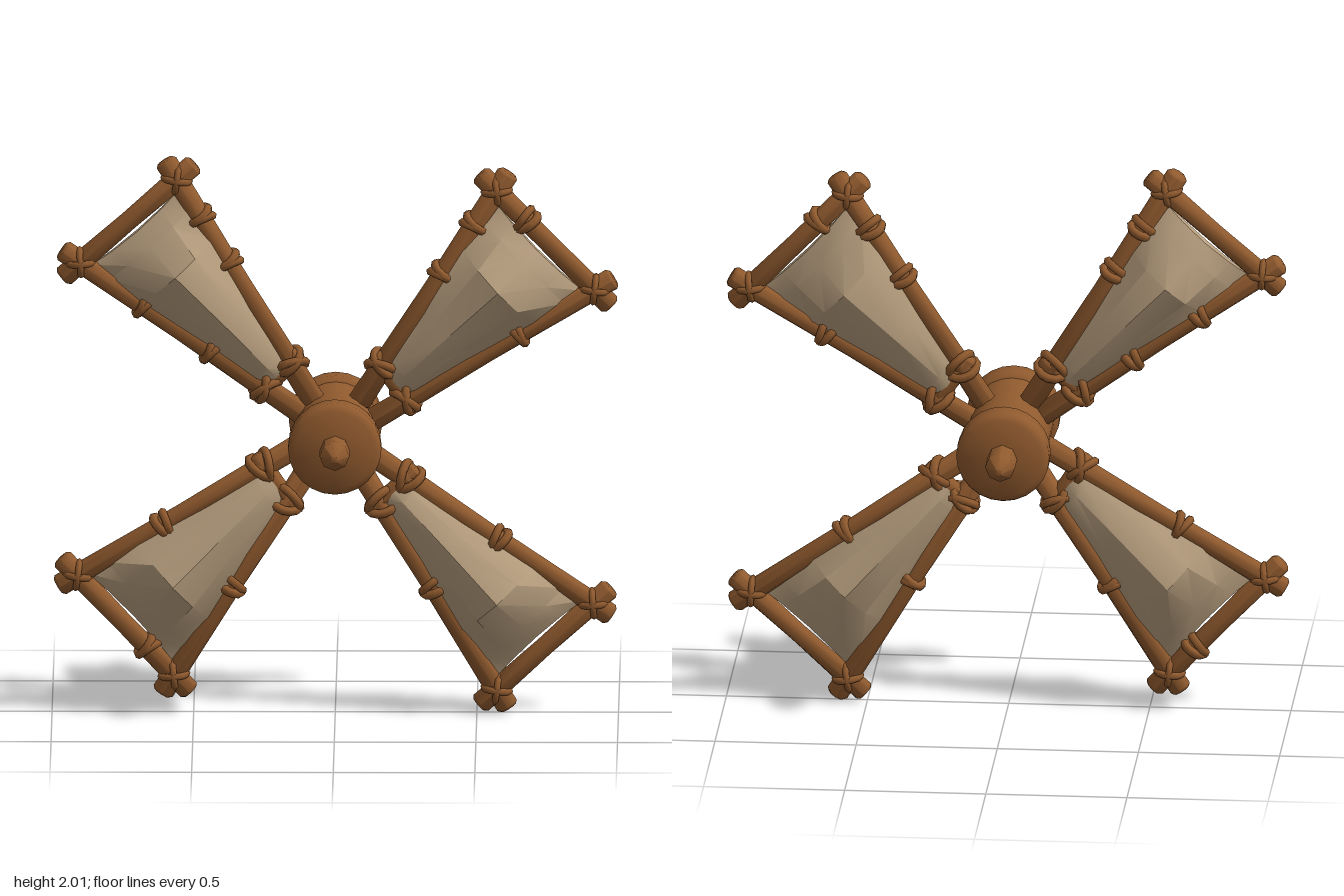
import * as THREE from 'three';
import { toCreasedNormals } from 'three/addons/utils/BufferGeometryUtils.js';

const wood = new THREE.MeshStandardMaterial({ color: 0x905a2e });
wood.name = 'wood';
const cloth = new THREE.MeshStandardMaterial({ color: 0xb89f7f, side: THREE.DoubleSide });
cloth.name = 'sailcloth';

const UP = new THREE.Vector3(0, 1, 0);
const HUB_Y = 1.003;
const vec = ([x, y]) => new THREE.Vector3(x, y, 0);
const mix = (a, b, t) => a.clone().lerp(b, t);

function add(group, name, geometry, material) {
  const mesh = new THREE.Mesh(geometry, material);
  mesh.name = name;
  group.add(mesh);
  return mesh;
}

// Round timber with chamfered, slightly flared ends, running from a to b
function pole(group, name, a, b, r0, r1) {
  const dir = b.clone().sub(a), len = dir.length(), c = 0.01;
  const waist = Math.min(r0, r1) - 0.005;
  const profile = [[0, 0], [r0 - c, 0], [r0, c], [waist, len / 2], [r1, len - c], [r1 - c, len], [0, len]];
  const geo = new THREE.LatheGeometry(profile.map((p) => new THREE.Vector2(...p)), 8);
  const mesh = add(group, name, toCreasedNormals(geo, 0.85), wood);
  mesh.position.copy(a);
  mesh.quaternion.setFromUnitVectors(UP, dir.normalize());
}

// Two turns of binding around a timber
function lashing(group, name, at, dir, radius, tilt) {
  for (const s of [-1, 1]) {
    const ring = add(group, name, new THREE.TorusGeometry(radius, 0.016, 6, 12), wood);
    ring.position.copy(at).addScaledVector(dir, s * 0.01);
    ring.quaternion.setFromUnitVectors(new THREE.Vector3(0, 0, 1), dir);
    ring.rotateX(s * tilt);
  }
}

// Puffed sail: loops of front and back points stitched from hub end to tip
function sail(group, a0, a1, b0, b1) {
  // [along, side inset, front bulge, back bulge, sag at the middle]
  const rings = [
    [0.18, -0.05, 0.035, 0.035, 0],
    [0.23, -0.05, 0.056, 0.052, 0],
    [0.45, 0.03, 0.086, 0.078, 0],
    [0.74, 0.025, 0.145, 0.12, 0],
    [0.88, 0.03, 0.07, 0.058, 0],
    [0.965, 0.035, 0.02, 0.018, 0.015],
  ];
  const across = [0, 0.22, 0.5, 0.78, 1], puff = [0.2, 0.75, 1, 0.75, 0.2];
  const pos = [], index = [], n = across.length * 2;
  for (const [t, inset, front, back, sag] of rings) {
    const row = (i, z) => {
      const v = inset + across[i] * (1 - 2 * inset);
      const tt = t - sag * 4 * across[i] * (1 - across[i]);
      const p = mix(mix(a0, a1, tt), mix(b0, b1, tt), v);
      pos.push(p.x, p.y, z * puff[i]);
    };
    for (let i = 0; i < 5; i++) row(i, front);
    for (let i = 4; i >= 0; i--) row(i, -back);
  }
  for (let r = 0; r < rings.length - 1; r++) {
    for (let i = 0; i < n; i++) {
      const a = r * n + i, b = r * n + ((i + 1) % n);
      index.push(a, b, b + n, a, b + n, a + n);
    }
  }
  // Close both ends
  for (const base of [0, (rings.length - 1) * n]) {
    for (let i = 0; i < 4; i++) {
      const q = [base + i, base + i + 1, base + n - 2 - i, base + n - 1 - i];
      if (base) index.push(q[0], q[1], q[2], q[0], q[2], q[3]);
      else index.push(q[0], q[2], q[1], q[0], q[3], q[2]);
    }
  }
  // Keep faces outward on mirrored blades
  const turn = a1.clone().sub(b1).cross(a1.clone().sub(a0)).z;
  if (turn > 0) index.reverse();
  const geo = new THREE.BufferGeometry();
  geo.setAttribute('position', new THREE.Float32BufferAttribute(pos, 3));
  geo.setIndex(index);
  add(group, 'sail', toCreasedNormals(geo, 0.5), cloth);
}

// Frame corners of each blade, and where its bindings sit along each timber
const blades = [
  { name: 'upperRightBlade', a: [[-0.07, 1.11], [-0.56, 1.92]], b: [[-0.11, 1.07], [-0.9, 1.62]], ta: [0.63, 0.83], tb: [0.42, 0.72], tc: [] },
  { name: 'upperLeftBlade', a: [[0.08, 1.11], [0.57, 1.88]], b: [[0.11, 1.04], [0.915, 1.525]], ta: [0.61, 0.84], tb: [0.67], tc: [0.3] },
  { name: 'lowerRightBlade', a: [[-0.08, 0.9], [-0.57, 0.13]], b: [[-0.11, 0.97], [-0.91, 0.49]], ta: [0.58], tb: [0.62], tc: [0.28] },
  { name: 'lowerLeftBlade', a: [[0.07, 0.9], [0.57, 0.08]], b: [[0.11, 0.94], [0.91, 0.39]], ta: [0.55], tb: [0.58], tc: [] },
];

function buildBlade({ name, a, b, ta, tb, tc }) {
  const blade = new THREE.Group();
  blade.name = name;
  const [a0, a1] = a.map(vec), [b0, b1] = b.map(vec);
  const dirA = a1.clone().sub(a0).normalize();
  const dirB = b1.clone().sub(b0).normalize();
  const dirC = b1.clone().sub(a1).normalize();

  // Two long spars, the tip bar and the short bar near the hub
  pole(blade, 'innerSpar', a0, a1.clone().addScaledVector(dirA, 0.08), 0.042, 0.04);
  pole(blade, 'outerSpar', b0, b1.clone().addScaledVector(dirB, 0.08), 0.042, 0.04);
  pole(blade, 'tipBar', a1.clone().addScaledVector(dirC, -0.085), b1.clone().addScaledVector(dirC, 0.085), 0.039, 0.039);
  const rootA = mix(a0, a1, 0.18), rootB = mix(b0, b1, 0.18);
  const dirR = rootB.clone().sub(rootA).normalize();
  pole(blade, 'rootBar', rootA.clone().addScaledVector(dirR, -0.05), rootB.clone().addScaledVector(dirR, 0.05), 0.038, 0.038);

  // Bindings along the timbers
  ta.forEach((t) => lashing(blade, 'sparBinding', mix(a0, a1, t), dirA, 0.041, 0.25));
  tb.forEach((t) => lashing(blade, 'sparBinding', mix(b0, b1, t), dirB, 0.041, 0.25));
  tc.forEach((t) => lashing(blade, 'barBinding', mix(a1, b1, t), dirC, 0.041, 0.25));
  lashing(blade, 'rootBinding', rootA, dirA, 0.052, 0.5);
  lashing(blade, 'rootBinding', rootB, dirB, 0.052, 0.5);

  // Crossed bindings at the tip corners
  for (const [corner, dir] of [[a1, dirA], [b1, dirB]]) {
    for (const s of [-1, 1]) {
      const diagonal = dir.clone().addScaledVector(dirC, s).normalize();
      const ring = add(blade, 'cornerBinding', new THREE.TorusGeometry(0.046, 0.013, 6, 12), wood);
      ring.position.copy(corner);
      ring.quaternion.setFromUnitVectors(new THREE.Vector3(0, 0, 1), diagonal);
    }
  }
  sail(blade, a0, a1, b0, b1);
  return blade;
}

export function createModel() {
  const model = new THREE.Group();
  model.name = 'windmillSails';

  // Hub barrel with rounded collars, lying along z
  const half = [[0.147, 0.175], [0.16, 0.184], [0.165, 0.195], [0.165, 0.26], [0.158, 0.275], [0.14, 0.287], [0, 0.287]];
  const lower = half.map(([r, z]) => [r, -z]).reverse();
  const profile = [...lower, ...half].map((p) => new THREE.Vector2(...p));
  const hub = add(model, 'hub', toCreasedNormals(new THREE.LatheGeometry(profile, 24), 0.9), wood);
  hub.rotation.x = Math.PI / 2;
  hub.position.y = HUB_Y;

  // Pointed axle through the hub
  const axleHalf = [[0.053, 0.38], [0.012, 0.438], [0, 0.44]];
  const axleLow = axleHalf.map(([r, z]) => [r, -z]).reverse();
  const axleProfile = [...axleLow, ...axleHalf].map((p) => new THREE.Vector2(...p));
  const axle = add(model, 'axle', toCreasedNormals(new THREE.LatheGeometry(axleProfile, 8), 0.85), wood);
  axle.rotation.x = Math.PI / 2;
  axle.position.y = HUB_Y;

  blades.forEach((b) => model.add(buildBlade(b)));
  return model;
}
